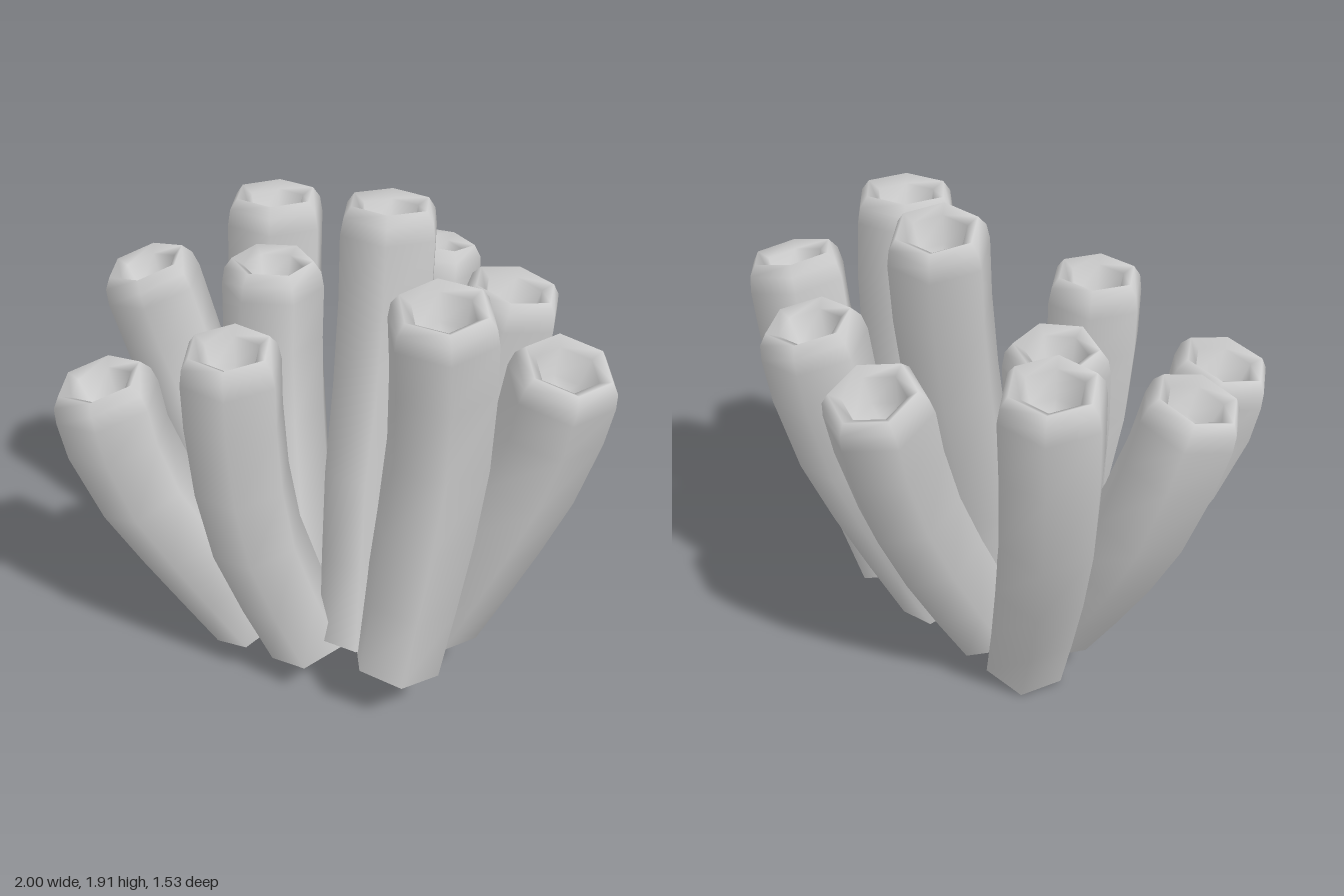
import * as THREE from 'three';

const SIDES = 6;

// Each tube: four points of its centre line from base to top, hexagon turn in degrees, thickness
const TUBES = [
  [[-0.28, 0.20, 0.11], [-0.55, 0.65, 0.06], [-0.74, 1.05, 0.04], [-0.845, 1.46, 0.09], 0, 1],
  [[-0.25, 0.18, 0.28], [-0.44, 0.62, 0.45], [-0.57, 0.95, 0.56], [-0.64, 1.29, 0.60], 0, 1.05],
  [[0.01, 0.19, 0.27], [-0.11, 0.70, 0.41], [-0.145, 1.10, 0.46], [-0.15, 1.53, 0.475], 0, 1],
  [[0.385, 0.25, 0.235], [0.45, 0.80, 0.18], [0.485, 1.25, 0.145], [0.505, 1.77, 0.185], -10, 1.06],
  [[0.39, 0.27, -0.04], [0.58, 0.72, -0.07], [0.73, 1.12, -0.105], [0.825, 1.52, -0.095], -12, 1.05],
  [[0.19, 0.25, 0.20], [0.13, 0.85, 0.06], [0.105, 1.40, -0.07], [0.08, 1.88, -0.14], 0, 1],
  [[0.14, 0.25, -0.08], [0.27, 0.68, -0.24], [0.365, 1.10, -0.375], [0.42, 1.53, -0.435], 5, 1.04],
  [[-0.09, 0.22, -0.07], [-0.05, 0.65, -0.30], [-0.03, 1.08, -0.49], [-0.03, 1.50, -0.605], 30, 1.04],
  [[-0.22, 0.06, 0.00], [-0.42, 0.65, -0.18], [-0.55, 1.15, -0.31], [-0.58, 1.63, -0.36], 0, 1.04],
  [[-0.13, 0.07, 0.14], [-0.27, 0.62, 0.045], [-0.355, 1.10, -0.03], [-0.37, 1.55, -0.06], 30, 1],
];

// Rings along a tube: position on the curve, radius, sink below the rim
const RINGS = [
  [0, 0.16, 0], [0.2, 0.167, 0], [0.4, 0.175, 0], [0.6, 0.18, 0], [0.8, 0.184, 0],
  [1, 0.186, 0.1], [1, 0.176, 0.04], [1, 0.148, 0],
  [1, 0.108, 0.025], [1, 0.088, 0.13],
];

function tubeGeometry(points, turn, thickness) {
  const curve = new THREE.CatmullRomCurve3(points.map((p) => new THREE.Vector3(...p)));
  const pos = [], index = [];
  const a0 = THREE.MathUtils.degToRad(turn);
  RINGS.forEach(([t, radius, sink], k) => {
    const r = radius * thickness;
    const tangent = curve.getTangentAt(t);
    const u = new THREE.Vector3(Math.cos(a0), 0, Math.sin(a0));
    u.addScaledVector(tangent, -u.dot(tangent)).normalize();
    const v = new THREE.Vector3().crossVectors(u, tangent);
    const c = curve.getPointAt(t).addScaledVector(tangent, -sink);
    for (let i = 0; i < SIDES; i++) {
      const a = (i / SIDES) * Math.PI * 2;
      const p = c.clone().addScaledVector(u, r * Math.cos(a)).addScaledVector(v, r * Math.sin(a));
      pos.push(p.x, p.y, p.z);
      if (k > 0) {
        const j = (i + 1) % SIDES, lo = (k - 1) * SIDES, hi = k * SIDES;
        index.push(lo + i, hi + i, lo + j, lo + j, hi + i, hi + j);
      }
    }
  });
  // Floor of the pit
  const last = (RINGS.length - 1) * SIDES;
  const floor = curve.getPointAt(1).addScaledVector(curve.getTangentAt(1), -0.14);
  pos.push(floor.x, floor.y, floor.z);
  for (let i = 0; i < SIDES; i++) index.push(last + i, last + SIDES, last + ((i + 1) % SIDES));

  const g = new THREE.BufferGeometry();
  g.setAttribute('position', new THREE.Float32BufferAttribute(pos, 3));
  g.setIndex(index);
  g.computeVertexNormals();
  return g;
}

export function createModel() {
  const group = new THREE.Group();
  group.name = 'tubeCluster';
  // Open at the bottom, so both faces show
  const material = new THREE.MeshStandardMaterial({ color: 0xcccccc, side: THREE.DoubleSide });
  TUBES.forEach(([base, lower, upper, top, turn, thickness], i) => {
    const mesh = new THREE.Mesh(tubeGeometry([base, lower, upper, top], turn, thickness), material);
    mesh.name = `tube${i + 1}`;
    group.add(mesh);
  });
  return group;
}
